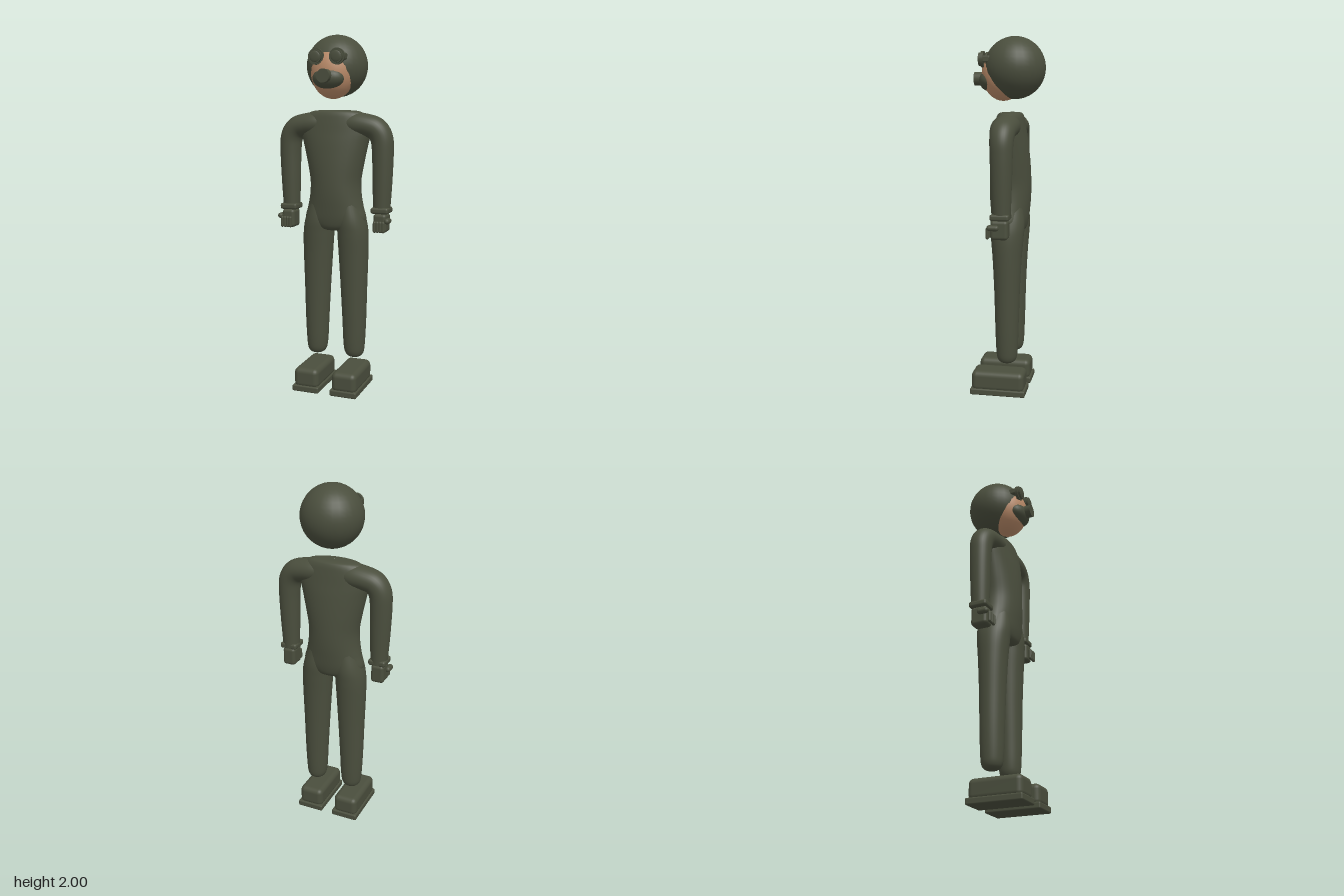
import * as THREE from 'three';
import { RoundedBoxGeometry } from 'three/addons/geometries/RoundedBoxGeometry.js';

const olive = new THREE.MeshStandardMaterial({ name: 'olive cloth', color: 0x4a4e3d });
const skin = new THREE.MeshStandardMaterial({ name: 'skin', color: 0xb98a68 });

// Smooth tube through sections [x, y, z, radius across, radius in z].
function loft(sections, upright, steps = 60, sides = 32) {
  const curve = (f) => new THREE.CatmullRomCurve3(sections.map(f), false, 'catmullrom', 0.5);
  const centres = curve((s) => new THREE.Vector3(s[0], s[1], s[2]));
  const radii = curve((s) => new THREE.Vector3(s[3], s[4], 0));
  const pos = [], index = [];
  for (let i = 0; i <= steps; i++) {
    const c = centres.getPoint(i / steps), r = radii.getPoint(i / steps);
    const t = upright ? new THREE.Vector3(0, 1, 0) : centres.getTangent(i / steps);
    for (let j = 0; j < sides; j++) {
      const a = (j / sides) * Math.PI * 2, u = Math.cos(a) * r.x, v = Math.sin(a) * r.y;
      pos.push(c.x + t.y * u, c.y - t.x * u, c.z + v);
      if (i === steps) continue;
      const k = (j + 1) % sides, p = i * sides, q = p + sides;
      index.push(p + j, q + j, p + k, p + k, q + j, q + k);
    }
  }
  const g = new THREE.BufferGeometry();
  g.setAttribute('position', new THREE.Float32BufferAttribute(pos, 3));
  g.setIndex(index);
  g.computeVertexNormals();
  return g;
}

function add(parent, name, geometry, x = 0, y = 0, z = 0, material = olive) {
  const mesh = new THREE.Mesh(geometry, material);
  mesh.name = name;
  mesh.position.set(x, y, z);
  parent.add(mesh);
  return mesh;
}

const box = (w, h, d, r) => new RoundedBoxGeometry(w, h, d, 3, r);
const disc = (r, depth) => new THREE.CylinderGeometry(r, r, depth, 24).rotateX(Math.PI / 2);

function addHead(model) {
  const head = new THREE.Group();
  head.name = 'head';
  model.add(head);
  add(head, 'hood', new THREE.SphereGeometry(0.17, 28, 20), 0, 1.83, -0.03);
  add(head, 'chin', new THREE.SphereGeometry(1, 28, 20).scale(0.125, 0.15, 0.12), 0, 1.8, 0.035, skin);

  // Breathing mask and filter
  add(head, 'mask', new THREE.SphereGeometry(1, 28, 18).scale(0.09, 0.06, 0.062), 0, 1.762, 0.108);
  add(head, 'filter', disc(0.037, 0.06), 0, 1.772, 0.167);

  // Goggles
  for (const s of [-1, 1]) {
    add(head, 'goggleArm', box(0.08, 0.037, 0.045, 0.008), s * 0.063, 1.875, 0.113);
    add(head, 'goggleRim', disc(0.044, 0.016), s * 0.06, 1.875, 0.138);
    add(head, 'goggleEyepiece', disc(0.036, 0.014), s * 0.06, 1.875, 0.152);
    add(head, 'goggleLens', new THREE.SphereGeometry(1, 20, 12).scale(0.03, 0.03, 0.006), s * 0.06, 1.875, 0.158);
  }
}

function addHand(model, s) {
  const hand = new THREE.Group();
  hand.name = s > 0 ? 'leftHand' : 'rightHand';
  model.add(hand);
  add(hand, 'cuff', box(0.1, 0.034, 0.104, 0.012), s * 0.272, 1.042, 0);
  add(hand, 'palm', box(0.075, 0.105, 0.095, 0.018), s * 0.274, 0.973, 0.003);
  for (let i = 0; i < 4; i++) {
    add(hand, 'finger', new THREE.CapsuleGeometry(0.0095, 0.045, 4, 10), s * (0.252 + i * 0.0165), 0.956, 0.066);
  }
  add(hand, 'thumb', new THREE.CapsuleGeometry(0.016, 0.035, 4, 12).rotateX(Math.PI / 2), s * 0.318, 0.988, 0.034);
}

export function createModel() {
  const model = new THREE.Group();
  model.name = 'masked figure';
  addHead(model);

  // Torso sections: height, half width, half depth
  const torso = [
    [0.915, 0.001, 0.001], [0.918, 0.06, 0.05], [0.935, 0.13, 0.085], [0.98, 0.178, 0.1],
    [1.05, 0.163, 0.109], [1.12, 0.15, 0.115], [1.2, 0.147, 0.116], [1.3, 0.165, 0.111],
    [1.4, 0.188, 0.1], [1.47, 0.205, 0.088], [1.53, 0.2, 0.078], [1.57, 0.165, 0.069],
    [1.587, 0.115, 0.052], [1.59, 0.001, 0.001],
  ];
  add(model, 'torso', loft(torso.map(([y, w, d]) => [0, y, -0.005, w, d]), true));

  for (const s of [-1, 1]) {
    const side = s > 0 ? 'left' : 'right';

    // Sleeve bending over the shoulder and down to the wrist
    const arm = [
      [0.03, 1.522, 0.05, 0.06], [0.11, 1.514, 0.066, 0.075], [0.18, 1.507, 0.064, 0.075],
      [0.235, 1.488, 0.064, 0.069], [0.267, 1.44, 0.063, 0.064], [0.275, 1.36, 0.06, 0.061],
      [0.274, 1.2, 0.055, 0.056], [0.271, 1.03, 0.047, 0.049],
    ];
    add(model, side + 'Arm', loft(arm.map(([x, y, w, d]) => [s * x, y, -0.005, w, d]), false));
    addHand(model, s);

    // Leg with a rounded lower end
    const leg = [
      [0.115, 0.18, 0.001, 0.001], [0.115, 0.183, 0.032, 0.032], [0.114, 0.205, 0.053, 0.053],
      [0.113, 0.26, 0.062, 0.061], [0.113, 0.4, 0.069, 0.066], [0.11, 0.6, 0.077, 0.072],
      [0.107, 0.78, 0.085, 0.081], [0.103, 0.9, 0.088, 0.091], [0.095, 0.98, 0.082, 0.096],
      [0.085, 1.08, 0.06, 0.085],
    ];
    add(model, side + 'Leg', loft(leg.map(([x, y, w, d]) => [s * x, y, -0.005, w, d]), true));

    // Boot
    add(model, side + 'Boot', box(0.146, 0.115, 0.3, 0.03), s * 0.113, 0.078, 0.04);
    add(model, side + 'Sole', box(0.158, 0.036, 0.314, 0.008), s * 0.113, 0.018, 0.039);
  }
  return model;
}
